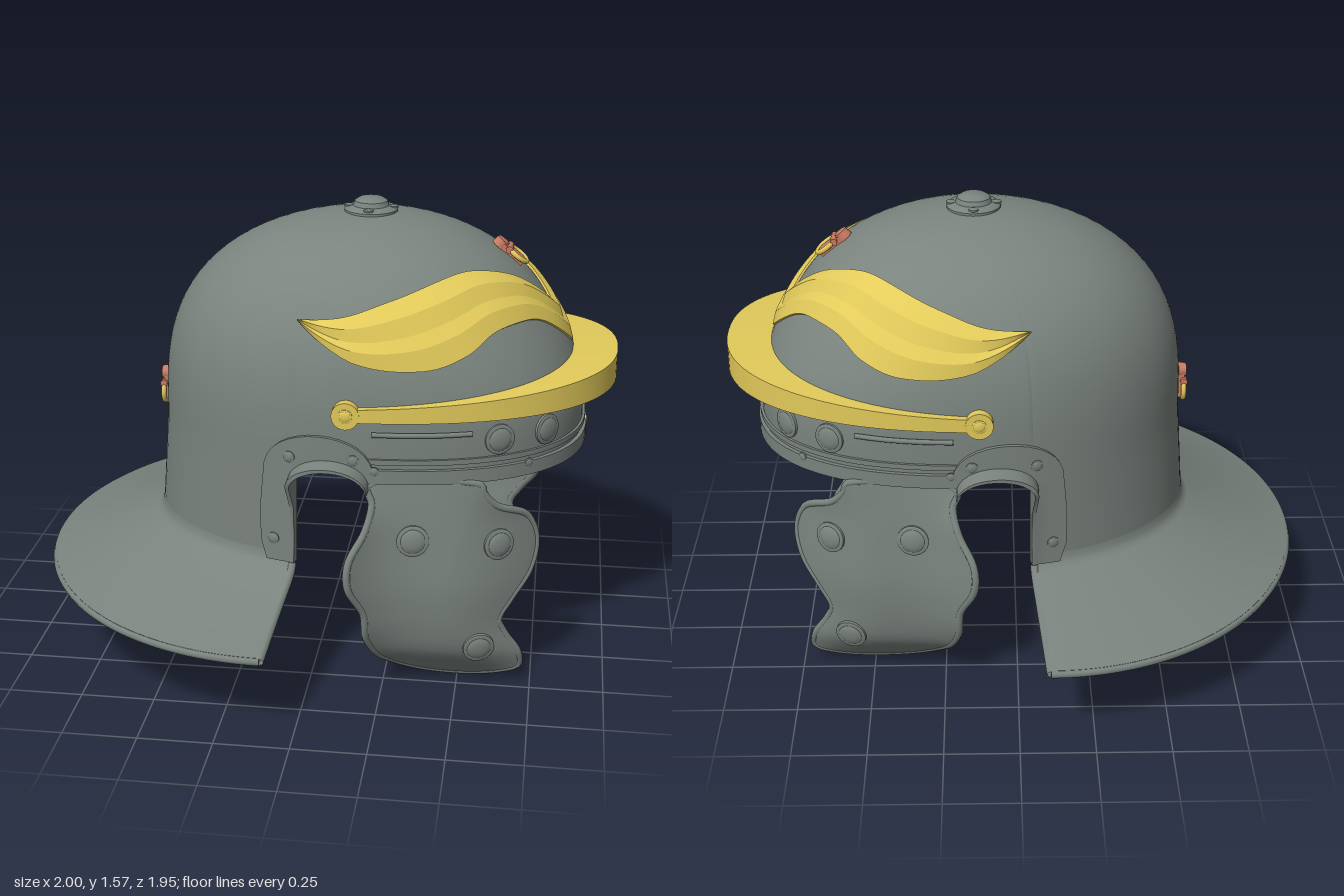
import * as THREE from 'three';
import { mergeVertices, toCreasedNormals } from 'three/addons/utils/BufferGeometryUtils.js';

const V = (x, y, z) => new THREE.Vector3(x, y, z);
const mat = (color) => new THREE.MeshStandardMaterial({ color, side: THREE.DoubleSide });
const steel = mat(0x7a837e), brass = mat(0xe2ca5a), copper = mat(0xc97b62);
const { lerp, smoothstep, degToRad } = THREE.MathUtils;
const CX = 0.14, TOP = 1.53;

function add(parent, name, geometry, material) {
  const m = new THREE.Mesh(geometry, material);
  m.name = name;
  parent.add(m);
  return m;
}

// Surface from rows of points: p(i, j) for i = 0..n, j = 0..m
function grid(n, m, p, crease = 0) {
  const pos = [], idx = [];
  for (let i = 0; i <= n; i++) for (let j = 0; j <= m; j++) pos.push(...p(i, j).toArray());
  for (let i = 0; i < n; i++) for (let j = 0; j < m; j++) {
    const a = i * (m + 1) + j, b = a + m + 1;
    idx.push(a, b, a + 1, b, b + 1, a + 1);
  }
  let g = new THREE.BufferGeometry();
  g.setAttribute('position', new THREE.Float32BufferAttribute(pos, 3));
  g.setIndex(idx);
  g = mergeVertices(g, 1e-4);
  if (crease) return toCreasedNormals(g, crease);
  g.computeVertexNormals();
  return g;
}

// Bowl surface: angle a from the brow (+x) round towards +z, height y; the brow is blunter low down
const dome = (y) => y > 0.8 ? Math.sqrt(Math.max(0, 1 - ((y - 0.8) / (TOP - 0.8)) ** 3)) : 1;
const frontR = (y) => dome(y) * (0.75 - 0.06 * smoothstep(y, 0.9, 1.3));
const backR = (y) => dome(y) * (0.72 + 0.072 * Math.max(0, 0.8 - y));
const blunt = (y) => 2.4 - 0.4 * smoothstep(y, 0.9, 1.3);
function bowl(a, y) {
  const c = Math.cos(a), s = Math.sin(a), e = c > 0 ? 2 / blunt(y) : 1;
  return V(CX + (c > 0 ? frontR(y) * c ** e : backR(y) * c), y, Math.sign(s) * Math.abs(s) ** e * 0.57 * dome(y));
}
function normal(a, y) {
  const e = 0.004;
  const da = bowl(a + e, y).sub(bowl(a - e, y)), dy = bowl(a, y + e).sub(bowl(a, y - e));
  return dy.cross(da).normalize();
}
const on = (a, y, off = 0) => bowl(a, y).addScaledVector(normal(a, y), off);
const ang = (x, y) => x > CX
  ? Math.acos(((x - CX) / frontR(y)) ** (blunt(y) / 2))
  : Math.acos((x - CX) / backR(y));
const A1 = ang(0.2, 0.8), A2 = ang(-0.05, 0.8);
const archY = (x) => 0.735 + 0.08 * Math.sqrt(Math.max(0, 1 - ((x - 0.075) / 0.125) ** 2));

// Raised strip round the bowl between two heights
const strip = (a0, a1, y0, y1, off) => grid(64, 3, (i, j) =>
  on(lerp(a0, a1, i / 64), j < 2 ? y0 : y1, j === 0 || j === 3 ? -0.01 : off), 0.6);

const tube = (points, r, closed = false, n = 100) =>
  new THREE.TubeGeometry(new THREE.CatmullRomCurve3(points, closed), n, r, 8, closed);

// Low stud with a stepped collar, unit radius
const studGeo = toCreasedNormals(new THREE.LatheGeometry([[1, -0.25], [1, 0.1], [0.92, 0.15], [0.76, 0.15],
  [0.7, 0.2], [0.4, 0.27], [0, 0.29]].map(([x, y]) => new THREE.Vector2(x, y)), 20), 0.6);
function stud(parent, name, p, n, r, material = steel) {
  const s = add(parent, name, studGeo, material);
  s.position.copy(p);
  s.quaternion.setFromUnitVectors(V(0, 1, 0), n);
  s.scale.setScalar(r);
}
const bowlStud = (parent, name, x, y, r, off = 0) =>
  stud(parent, name, on(ang(x, y), y, off), normal(ang(x, y), y), r);

// Small hanging ring with its bracket
function pendant(parent, name, a, y) {
  const g = new THREE.Group(), n = normal(a, y);
  g.name = name;
  g.position.copy(on(a, y, 0.006));
  g.lookAt(g.position.clone().add(n));
  g.scale.setScalar(1.15);
  add(g, 'bracketPlate', new THREE.BoxGeometry(0.04, 0.085, 0.02), copper).position.set(0, 0.002, 0.002);
  const knob = add(g, 'bracketHead', new THREE.CylinderGeometry(0.02, 0.024, 0.024, 14), copper);
  knob.rotation.x = Math.PI / 2;
  knob.position.set(0, 0.045, 0.006);
  const pin = add(g, 'bracketPin', new THREE.CylinderGeometry(0.011, 0.011, 0.064, 10), copper);
  pin.rotation.z = Math.PI / 2;
  pin.position.set(0, 0.016, 0.01);
  add(g, 'hangingRing', new THREE.TorusGeometry(0.034, 0.008, 8, 24), brass).position.set(0, -0.014, 0.01);
  parent.add(g);
}

// Cheek guard depth by position
const cheekTable = new THREE.SplineCurve([[0, 0.42], [0.07, 0.485], [0.16, 0.545], [0.35, 0.57], [0.55, 0.557], [0.8, 0.53]]
  .map(([y, z]) => new THREE.Vector2(y, z))).getPoints(80);
function cheekZ(x, y) {
  let k = 1;
  while (k < 80 && cheekTable[k].x < y) k++;
  const p = cheekTable[k - 1], q = cheekTable[k], d = x - 0.45;
  const base = lerp(p.y, q.y, (y - p.x) / (q.x - p.x));
  const bend = 0.08 * d + (d > 0 ? 1.4 * d * d : 3.2 * d ** 3);
  return base - bend * smoothstep(y, -0.05, 0.28) * (1 - 0.5 * smoothstep(y, 0.6, 0.8));
}
const cheekPoint = (x, y, off = 0) => V(x, y, cheekZ(x, y) + off);

function cheekGuard(parent) {
  const g = new THREE.Group();
  g.name = 'cheekGuard';
  const pts = [[0.2, 0.745], [0.215, 0.69], [0.195, 0.6], [0.148, 0.51], [0.147, 0.42], [0.195, 0.31], [0.205, 0.2], [0.265, 0.09],
    [0.37, 0.03], [0.52, 0.012], [0.65, 0.033], [0.708, 0.06], [0.705, 0.12], [0.66, 0.195], [0.638, 0.255], [0.675, 0.325],
    [0.735, 0.42], [0.75, 0.53], [0.71, 0.62], [0.615, 0.67], [0.575, 0.72], [0.57, 0.745]];
  const edge = new THREE.CatmullRomCurve3(pts.map(([x, y]) => V(x, y, 0)), true).getPoints(120);
  for (const [name, off] of [['cheekPlate', 0.011], ['cheekPlateInside', -0.011]])
    add(g, name, grid(120, 12, (i, j) => cheekPoint(lerp(0.45, edge[i].x, j / 12), lerp(0.4, edge[i].y, j / 12), off)), steel);
  add(g, 'cheekRim', tube(edge.slice(0, 120).map((p) => cheekPoint(p.x, p.y)), 0.013, true, 160), steel);
  for (const [x, y] of [[0.35, 0.56], [0.63, 0.535], [0.575, 0.16]]) {
    const e = 0.01;
    const n = V((cheekZ(x - e, y) - cheekZ(x + e, y)) / (2 * e), (cheekZ(x, y - e) - cheekZ(x, y + e)) / (2 * e), 1).normalize();
    stud(g, 'cheekStud', cheekPoint(x, y, 0.012), n, 0.054);
  }
  parent.add(g);
}

// Plate framing the ear opening with an outward flange
function earGuard(parent) {
  const inner = [[-0.05, 0.45], [-0.05, 0.55], [-0.05, 0.65], [-0.05, 0.735]], outer = [[-0.14, 0.45], [-0.16, 0.52], [-0.16, 0.65], [-0.15, 0.76]];
  for (let k = 1; k <= 16; k++) {
    const t = Math.PI * (1 - k / 16), x = 0.075 + 0.125 * Math.cos(t);
    inner.push([x, archY(x)]);
    outer.push([0.03 + 0.18 * Math.cos(t) + 0.01 * k / 16, 0.76 + 0.15 * Math.sin(t) ** 0.8]);
  }
  add(parent, 'earGuard', grid(inner.length - 1, 7, (i, j) => {
    const [x, y] = inner[i], [u, v] = outer[i];
    const flare = 0.018 + 0.055 * smoothstep(y, 0.64, 0.77);
    const t = [0, 0, 0.5, 0.84, 0.94, 1.06, 1.06, 1.06][j];
    const off = [-0.01, 0.014, 0.014, 0.014, flare, flare, 0.01, -0.015][j];
    const px = lerp(u, x, t), py = lerp(v, y, t);
    return on(ang(px, py), py, off);
  }, 0.5), steel);
  for (const [x, y] of [[-0.06, 0.83], [0.15, 0.835], [-0.115, 0.53]]) bowlStud(parent, 'earGuardRivet', x, y, 0.02, 0.015);
}

// Embossed winged eyebrow with two low ridges
function eyebrow(parent) {
  const curve = (list) => new THREE.SplineCurve(list.map(([a, y]) => new THREE.Vector2(degToRad(a), y)));
  const up = curve([[0, 1.235], [8, 1.29], [18, 1.345], [30, 1.378], [44, 1.392], [60, 1.375], [79, 1.33], [94, 1.285], [107, 1.27]]);
  const low = curve([[0, 1.09], [10, 1.155], [20, 1.21], [30, 1.23], [45, 1.22], [58, 1.165], [72, 1.13], [89, 1.15], [107, 1.265]]);
  const relief = [0, 0.01, 0.02, 0.012, 0.022, 0.01, 0], across = [0, 0, 0.3, 0.5, 0.75, 1, 1];
  add(parent, 'eyebrow', grid(60, 6, (i, j) => {
    const p = low.getPoint(i / 60).lerp(up.getPoint(i / 60), across[j]);
    return on(p.x, p.y, relief[j] - 0.003);
  }, 0.2), brass);
}

export function createModel() {
  const model = new THREE.Group();
  model.name = 'helmet';

  // Bowl with ear openings
  const half = [];
  for (let k = 0; k <= 24; k++) half.push([A1 * k / 24, 0.76]);
  for (let k = 0; k <= 16; k++) {
    const a = lerp(A1, A2, k / 16);
    half.push([a, archY(bowl(a, 0.8).x)]);
  }
  for (let k = 0; k <= 24; k++) half.push([lerp(A2, Math.PI, k / 24), 0.46]);
  const cols = [...half, ...half.slice(0, -1).reverse().map(([a, y]) => [2 * Math.PI - a, y])];
  add(model, 'bowl', grid(cols.length - 1, 32, (i, j) => {
    const [a, yb] = cols[i];
    return bowl(a, yb + (TOP - yb) * Math.sin(j / 32 * Math.PI / 2));
  }), steel);

  // Coarse lining
  const lh = [[0, 0.78], [30, 0.78], [60, 0.78], [84, 0.8], [95, 0.83], [107, 0.76], [125, 0.63], [150, 0.59], [180, 0.59]];
  const lining = [...lh, ...lh.slice(0, -1).reverse().map(([a, y]) => [360 - a, y])];
  add(model, 'lining', grid(lining.length - 1, 6, (i, j) => {
    const [a, yb] = lining[i], p = bowl(degToRad(a), yb + (TOP - yb) * Math.sin(j / 6 * Math.PI / 2));
    return V(CX + (p.x - CX) * 0.955, p.y - 0.03 * j / 6, p.z * 0.955);
  }), copper);

  // Neck guard
  const section = [[0, 0.475], [0.008, 0.455], [0.025, 0.44], [0.06, 0.428], [1, 0.3], [1, 0.272], [0.06, 0.402], [0, 0.43]];
  const guard = (s, t, y) => {
    const p = bowl(lerp(A2, 2 * Math.PI - A2, s), 0.47), f = Math.PI * (0.5 + s);
    return V(lerp(p.x, -0.1 + 0.892 * Math.cos(f), t), y, lerp(p.z, 0.965 * Math.sin(f), t));
  };
  add(model, 'neckGuard', grid(80, 7, (i, j) => guard(i / 80, ...section[j]), 0.7), steel);
  const rim = Array.from({ length: 41 }, (_, i) => guard(i / 40, 0.995, 0.286));
  add(model, 'neckGuardRim', tube(rim, 0.014), steel);
  for (const s of [0, 1])
    add(model, 'neckGuardEnd', tube([[0, 0.44], [0.06, 0.415], [0.5, 0.355], [1, 0.286]].map(([t, y]) => guard(s, t, y)), 0.014, false, 24), steel);

  // Brow rim
  add(model, 'browRim', strip(-A1, A1, 0.757, 0.805, 0.014), steel);
  add(model, 'browRidge', strip(-A1, A1, 0.822, 0.84, 0.009), steel);

  // Brow bar, deepest at the front
  add(model, 'browBar', grid(72, 4, (i, j) => {
    const a = lerp(-1, 1, i / 72) * degToRad(90), c = Math.max(0, Math.cos(a)), s = Math.sin(a);
    const y = lerp(0.99, 1.027, c) + (j === 1 || j === 2 ? 1 : -1) * lerp(0.022, 0.047, c);
    return j === 2 || j === 3 ? V(0.12 + 0.88 * c ** 0.87, y, 0.59 * Math.sign(s) * Math.abs(s) ** 0.87) : on(a, y, -0.005);
  }, 0.6), brass);

  // Crown boss
  const boss = new THREE.LatheGeometry([[0.092, -0.03], [0.092, 0.002], [0.085, 0.009], [0.062, 0.014], [0.056, 0.03],
    [0.04, 0.04], [0, 0.042]].map(([x, y]) => new THREE.Vector2(x, y)), 32);
  add(model, 'crownBoss', toCreasedNormals(boss, 0.6), steel).position.set(CX, TOP, 0);
  for (let k = 0; k < 4; k++)
    stud(model, 'crownRivet', V(CX + 0.077 * Math.cos(k * Math.PI / 2), TOP + 0.012, 0.077 * Math.sin(k * Math.PI / 2)), V(0, 1, 0), 0.017);

  pendant(model, 'frontPendant', 0, 1.385);
  pendant(model, 'backPendant', Math.PI, 0.855);
  stud(model, 'centreRivet', on(0, 0.8, 0.013), normal(0, 0.8), 0.015, brass);

  // Paired side parts
  const side = new THREE.Group();
  side.name = 'leftSide';
  cheekGuard(side);
  earGuard(side);
  eyebrow(side);
  for (const x of [0.62, 0.77]) bowlStud(side, 'browStud', x, 0.895, 0.052);
  for (const x of [0.22, 0.71]) bowlStud(side, 'rimRivet', x, 0.8, 0.015, 0.013);
  stud(side, 'barPivot', V(0.125, 0.99, 0.592), V(0, 0, 1), 0.024, brass);
  const disc = add(side, 'barEnd', new THREE.CylinderGeometry(0.046, 0.046, 0.04, 24), brass);
  disc.rotation.x = Math.PI / 2;
  disc.position.set(0.125, 0.99, 0.572);
  const pin = [0.21, 0.32, 0.43, 0.53].map((x) => on(ang(x, 0.925), 0.925, 0.008));
  add(side, 'hingePin', tube(pin, 0.009, false, 20), steel);
  const other = side.clone();
  other.name = 'rightSide';
  other.scale.z = -1;
  model.add(side, other);

  return model;
}
